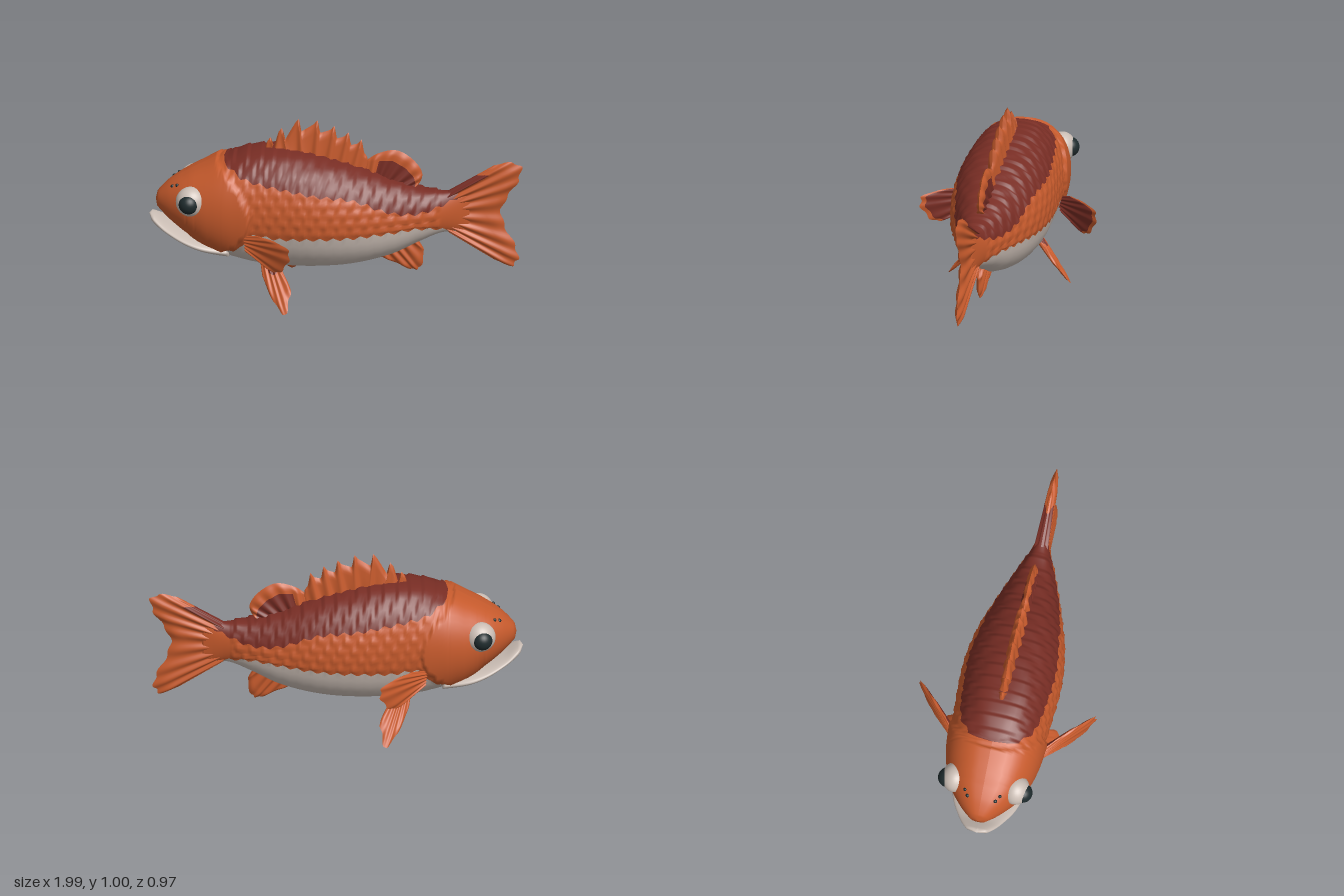
import * as THREE from 'three';

const mat = (name, color) => Object.assign(new THREE.MeshStandardMaterial({ color }), { name });

// Smooth interpolation of table rows [x, ...values] at x
function sample(rows, x) {
  let i = 0;
  while (i < rows.length - 2 && x > rows[i + 1][0]) i++;
  const p = rows[i], q = rows[i + 1], o = rows[i - 1] || p, r = rows[i + 2] || q;
  const dx = q[0] - p[0], t = (x - p[0]) / dx, t2 = t * t, t3 = t2 * t;
  return p.slice(1).map((a, n) => {
    const k = n + 1, b = q[k];
    const m0 = (q[k] - o[k]) / (q[0] - o[0]) * dx, m1 = (r[k] - p[k]) / (r[0] - p[0]) * dx;
    return (2 * t3 - 3 * t2 + 1) * a + (t3 - 2 * t2 + t) * m0 + (3 * t2 - 2 * t3) * b + (t3 - t2) * m1;
  });
}

// One geometry from positions and one index list per material
function painted(name, pos, lists, materials) {
  const g = new THREE.BufferGeometry();
  g.setAttribute('position', new THREE.Float32BufferAttribute(pos, 3));
  g.setIndex(lists.flat());
  let start = 0;
  lists.forEach((l, i) => {
    if (l.length) g.addGroup(start, l.length, i);
    start += l.length;
  });
  g.computeVertexNormals();
  const mesh = new THREE.Mesh(g, materials);
  mesh.name = name;
  return mesh;
}

// Loft along x; rows are [x, top, bottom, halfWidth, backLine, bellyLine]
function loft(name, rows, segs, bands, materials, bump = () => 0, jag = 0) {
  const half = bands[0] + bands[1] + bands[2], ring = half * 2;
  const pos = [], lists = [[], [], []];
  const x0 = rows[0][0], x1 = rows[rows.length - 1][0], H = Math.PI / 2;
  for (let i = 0; i <= segs; i++) {
    const x = x0 + (x1 - x0) * i / segs, end = i === 0 || i === segs ? 0.001 : 1;
    const [top, bot, w, back, belly] = sample(rows, x);
    const yc = (top + bot) / 2, h = Math.max((top - bot) / 2, 0.001);
    const ang = y => Math.asin(THREE.MathUtils.clamp((y - yc) / h, -1, 1));
    const zig = Math.abs(((x * 14) % 1 + 1) % 1 - 0.5) - 0.25;
    const aW = ang(belly + jag * zig), aM = Math.max(aW, ang(back - jag * zig));
    for (let j = 0; j < ring; j++) {
      const k = j <= half ? j : ring - j, s = j <= half ? 1 : -1;
      let a;
      if (k <= bands[0]) a = -H + (aW + H) * k / bands[0];
      else if (k <= bands[0] + bands[1]) a = aW + (aM - aW) * (k - bands[0]) / bands[1];
      else a = aM + (H - aM) * (k - bands[0] - bands[1]) / bands[2];
      const c = Math.max(Math.cos(a), 0), sn = Math.sin(a), y = yc + h * sn;
      const off = bump(x, y, belly);
      pos.push(x, yc + end * (h * sn + off * sn), s * end * (w * Math.pow(c, 0.82) + off * c));
      if (i < segs) {
        const f = j < half ? j : ring - 1 - j;
        const m = f < bands[0] ? 0 : f < bands[0] + bands[1] ? 1 : 2;
        const A = i * ring + j, D = i * ring + (j + 1) % ring;
        lists[m].push(A, A + ring, D + ring, A, D + ring, D);
      }
    }
  }
  return painted(name, pos, lists, materials);
}

// Rayed fin between a straight base and an outer edge, tapered to a closed rim
function fin(name, base, edge, o, materials) {
  const { normal, thick, rays, scallop = 0, sharp = false, colour = () => 0 } = o;
  const V = p => new THREE.Vector3(...p), n = V(normal).normalize();
  const b0 = V(base[0]), b1 = V(base[1]), pts = edge.map(V), nu = 84, nv = 12;
  const curve = new THREE.CatmullRomCurve3(pts);
  const edgeAt = u => {
    if (!sharp) return curve.getPoint(u);
    const t = u * (pts.length - 1), i = Math.min(Math.floor(t), pts.length - 2);
    return pts[i].clone().lerp(pts[i + 1], t - i);
  };
  const at = (u, v) => b0.clone().lerp(b1, u).lerp(edgeAt(u), v);
  const du = at(0.6, 0.5).sub(at(0.4, 0.5)), dv = at(0.5, 0.6).sub(at(0.5, 0.4));
  const turn = Math.sign(du.cross(dv).dot(n));
  const pos = [], lists = materials.map(() => []);
  for (const s of [1, -1]) {
    const first = pos.length / 3;
    for (let i = 0; i <= nu; i++) for (let j = 0; j <= nv; j++) {
      const u = i / nu, v = j / nv, wave = 0.5 + 0.5 * Math.cos(u * rays * Math.PI * 2);
      const rim = Math.sqrt(Math.max(0, Math.min(1, u * 10, (1 - u) * 10, (1 - v) * 6)));
      const t = thick * rim * (1 - 0.55 * v) * (0.6 + 0.4 * wave);
      const p = at(u, v * (1 - scallop * (1 - wave))).addScaledVector(n, s * t);
      pos.push(p.x, p.y, p.z);
      if (i < nu && j < nv) {
        const a = first + i * (nv + 1) + j, b = a + nv + 1;
        const tri = s * turn > 0 ? [a, b, b + 1, a, b + 1, a + 1] : [a, b + 1, b, a, a + 1, b + 1];
        lists[colour(u, v, s)].push(...tri);
      }
    }
  }
  return painted(name, pos, lists, materials);
}

export function createModel() {
  const fish = new THREE.Group();
  fish.name = 'fish';
  const orange = mat('orange', 0xc65a2c), maroon = mat('maroon', 0x782d24);
  const cream = mat('cream', 0xcbbeb5), black = mat('pupilBlack', 0x1f2b2d);
  const skin = [cream, orange, maroon], finSkin = [orange, maroon];

  // Gill cover step on the head, overlapping scales behind it
  const fract = t => t - Math.floor(t);
  const relief = (x, y, belly) => {
    const d = -0.45 - 3 * (y - 0.52) ** 2 - x;
    if (d > 0) return 0.018 * Math.max(0, 1 - d / 0.28);
    if (y < belly + 0.01 || x > 0.56) return 0;
    const r = y * 19, row = Math.floor(r);
    return 0.011 * fract(x * 14 + row * 0.5) * (1 - Math.abs(2 * fract(r) - 1) * 0.6);
  };
  fish.add(loft('body', [
    [-0.965, 0.56, 0.50, 0.03, 0.57, 0.49],
    [-0.93, 0.60, 0.465, 0.075, 0.62, 0.455],
    [-0.88, 0.645, 0.42, 0.125, 0.67, 0.41],
    [-0.8, 0.695, 0.36, 0.185, 0.72, 0.355],
    [-0.7, 0.74, 0.29, 0.225, 0.77, 0.32],
    [-0.6, 0.785, 0.25, 0.245, 0.78, 0.30],
    [-0.5, 0.82, 0.22, 0.25, 0.735, 0.34],
    [-0.44, 0.835, 0.205, 0.25, 0.715, 0.42],
    [-0.3, 0.842, 0.19, 0.258, 0.69, 0.41],
    [-0.1, 0.81, 0.19, 0.263, 0.655, 0.415],
    [0.1, 0.755, 0.21, 0.235, 0.625, 0.42],
    [0.3, 0.68, 0.262, 0.172, 0.545, 0.43],
    [0.45, 0.63, 0.335, 0.115, 0.525, 0.435],
    [0.58, 0.615, 0.385, 0.062, 0.56, 0.41],
    [0.72, 0.64, 0.37, 0.02, 0.625, 0.36],
  ], 180, [8, 18, 10], skin, relief, 0.04));

  // Lower jaw, jutting past the snout
  fish.add(loft('lowerJaw', [
    [-1, 0.462, 0.425, 0.04, 0.5, 0.5],
    [-0.96, 0.44, 0.39, 0.08, 0.5, 0.5],
    [-0.9, 0.405, 0.355, 0.12, 0.5, 0.5],
    [-0.8, 0.37, 0.31, 0.17, 0.5, 0.5],
    [-0.7, 0.35, 0.275, 0.19, 0.5, 0.5],
    [-0.55, 0.33, 0.24, 0.17, 0.5, 0.5],
  ], 30, [16, 1, 1], skin));

  // Spiny dorsal fin: each spine tip is followed by a notch
  const spines = [[-0.35, 0.9], [-0.29, 0.955], [-0.2, 1.01], [-0.1, 1.005],
    [-0.01, 0.975], [0.065, 0.94], [0.135, 0.9]];
  const spiny = [[-0.38, 0.84, 0]];
  for (const [x, y] of spines) spiny.push([x - 0.02, y - 0.025, 0], [x, y, 0], [x + 0.012, y - 0.075, 0]);
  spiny.push([0.165, 0.8, 0], [0.17, 0.74, 0]);
  fish.add(fin('spinyDorsalFin', [[-0.38, 0.8, 0], [0.16, 0.7, 0]], spiny,
    { normal: [0, 0, 1], thick: 0.042, rays: 8, sharp: true }, finSkin));

  fish.add(fin('softDorsalFin', [[0.15, 0.71, 0], [0.42, 0.6, 0]],
    [[0.16, 0.78, 0], [0.22, 0.82, 0], [0.32, 0.842, 0], [0.41, 0.79, 0], [0.458, 0.715, 0], [0.445, 0.66, 0], [0.4, 0.62, 0]],
    { normal: [0, 0, 1], thick: 0.034, rays: 7, colour: (u, v) => (u > 0.2 && v < 0.62 ? 1 : 0) }, finSkin));

  fish.add(fin('analFin', [[0.18, 0.27, 0], [0.43, 0.37, 0]],
    [[0.2, 0.24, 0], [0.3, 0.2, 0], [0.41, 0.155, 0], [0.447, 0.165, 0], [0.468, 0.27, 0], [0.43, 0.335, 0]],
    { normal: [0, 0, 1], thick: 0.032, rays: 6, scallop: 0.05 }, finSkin));

  fish.add(fin('tailFin', [[0.57, 0.6, 0], [0.57, 0.4, 0]],
    [[0.84, 0.77, 0], [0.92, 0.793, 0], [0.99, 0.775, 0], [0.985, 0.7, 0], [0.93, 0.61, 0], [0.885, 0.51, 0],
      [0.91, 0.41, 0], [0.965, 0.3, 0], [0.975, 0.225, 0], [0.94, 0.19, 0], [0.84, 0.23, 0]],
    { normal: [0, 0, 1], thick: 0.04, rays: 9, scallop: 0.04, colour: (u, v) => (u < 0.12 && v < 0.6 ? 1 : 0) }, finSkin));

  for (const m of [1, -1]) {
    const side = m > 0 ? 'left' : 'right';

    // Pectoral fins sweep out and back
    const pec = ([x, y]) => [x, y, m * (0.25 + (x + 0.45))];
    fish.add(fin(side + 'PectoralFin', [[-0.47, 0.42], [-0.46, 0.33]].map(pec),
      [[-0.4, 0.45], [-0.31, 0.46], [-0.22, 0.445], [-0.215, 0.39], [-0.26, 0.305], [-0.31, 0.28], [-0.39, 0.31]].map(pec),
      { normal: [-1, 0, m], thick: 0.018, rays: 6, scallop: 0.05, colour: (u, v, s) => (s < 0 && v < 0.84 ? 1 : 0) }, finSkin));

    // Pelvic fins splay down and out
    const pel = ([x, y]) => [x, y, m * (0.145 + (0.22 - y) * 0.8 + (x + 0.33) * 0.3)];
    fish.add(fin(side + 'PelvicFin', [[-0.4, 0.235], [-0.29, 0.225]].map(pel),
      [[-0.385, 0.17], [-0.34, 0.09], [-0.285, 0.03], [-0.245, 0.004], [-0.235, 0.06], [-0.225, 0.12], [-0.27, 0.19]].map(pel),
      { normal: [-0.3, 0.8, m], thick: 0.018, rays: 5, scallop: 0.05, colour: (u, v, s) => (s > 0 && u > 0.3 && v < 0.25 ? 1 : 0) }, finSkin));

    // Bulging eyes and nostrils
    const ball = (name, r, x, y, z, material, flat = 1) => {
      const b = new THREE.Mesh(new THREE.SphereGeometry(r, 28, 20), material);
      b.name = side + name;
      b.position.set(x, y, m * z);
      b.scale.z = flat;
      fish.add(b);
    };
    ball('Eye', 0.082, -0.765, 0.582, 0.165, cream, 0.9);
    ball('Pupil', 0.054, -0.775, 0.582, 0.203, black);
    ball('Nostril', 0.011, -0.87, 0.63, 0.075, black);
    ball('RearNostril', 0.009, -0.845, 0.645, 0.095, black);
  }
  return fish;
}
